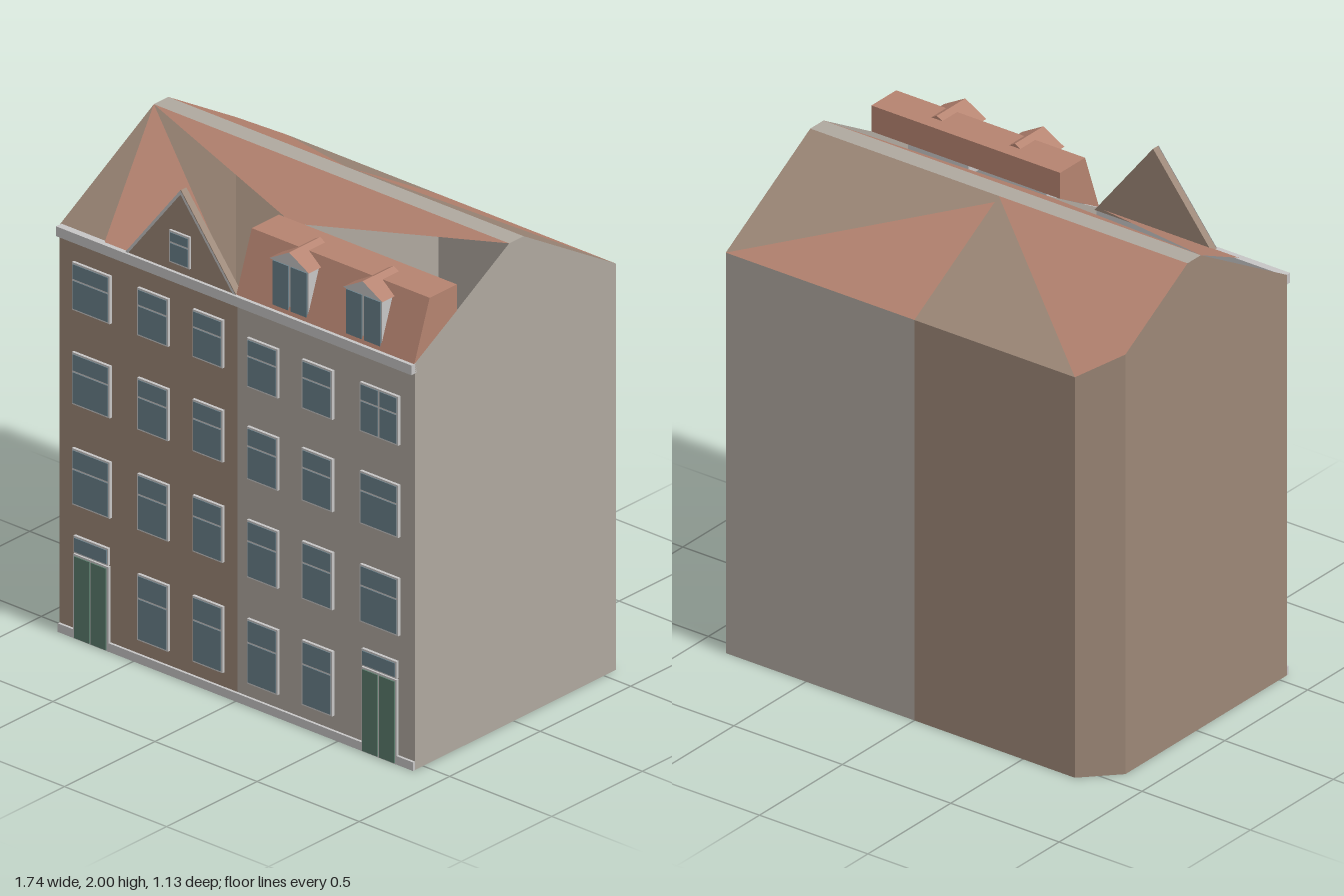
import * as THREE from 'three';

const material = (name, color) =>
  new THREE.MeshStandardMaterial({ name, color, side: THREE.DoubleSide });

export function createModel() {
  const model = new THREE.Group();
  model.name = 'townhouses';
  const brown = material('brown plaster', 0x9c8777);
  const gray = material('gray plaster', 0xafa89f);
  const tile = material('terracotta tile', 0xb58370);
  const pale = material('pale trim', 0xc6c5c5);
  const glass = material('window glass', 0x69808a);
  const green = material('green door', 0x5a7c6c);

  // Main dimensions
  const W = 0.87, F = 0.545, B = -0.565, EAVE = 1.66, TOP = 1.96;
  const RF = 0.025, RB = -0.055, CX = -0.74, CZ = -0.43;
  const frontY = z => TOP - (TOP - EAVE) * (z - RF) / (F - RF);
  const backY = z => TOP - (TOP - EAVE) * (RB - z) / (RB - B);

  // Flat convex polygon, corners counter-clockwise from outside
  function face(name, mat, pts, parent = model) {
    const pos = [];
    for (let i = 1; i < pts.length - 1; i++) pos.push(...pts[0], ...pts[i], ...pts[i + 1]);
    const geo = new THREE.BufferGeometry();
    geo.setAttribute('position', new THREE.Float32BufferAttribute(pos, 3));
    geo.computeVertexNormals();
    const mesh = new THREE.Mesh(geo, mat);
    mesh.name = name;
    parent.add(mesh);
  }

  // Box given by its limits
  function block(name, mat, x0, x1, y0, y1, z0, z1, parent = model) {
    const mesh = new THREE.Mesh(new THREE.BoxGeometry(x1 - x0, y1 - y0, z1 - z0), mat);
    mesh.position.set((x0 + x1) / 2, (y0 + y1) / 2, (z0 + z1) / 2);
    mesh.name = name;
    parent.add(mesh);
  }

  // Walls and floors of the two houses
  const wall = (name, mat, x0, x1, y) =>
    face(name, mat, [[x0, 0, F], [x1, 0, F], [x1, y, F], [x0, y, F]]);
  wall('leftFrontWall', brown, -W, 0, EAVE);
  wall('rightFrontWall', gray, 0, W, EAVE);
  face('rearWallBrown', brown, [[0, 0, B], [CX, 0, B], [CX, EAVE, B], [0, EAVE, B]]);
  face('rearWallGray', gray, [[W, 0, B], [0, 0, B], [0, EAVE, B], [W, EAVE, B]]);
  face('chamferedCorner', brown,
    [[CX, 0, B], [-W, 0, CZ], [-W, backY(CZ), CZ], [CX, EAVE, B]]);
  face('brownGableEnd', brown, [[-W, 0, CZ], [-W, 0, F], [-W, EAVE, F],
    [-W, TOP, RF], [-W, TOP, RB], [-W, backY(CZ), CZ]]);
  for (const [name, x] of [['grayGableEnd', W], ['partyWall', 0]])
    face(name, gray, [[x, 0, F], [x, 0, B], [x, EAVE, B], [x, TOP, RB], [x, TOP, RF], [x, EAVE, F]]);
  face('brownFloor', brown, [[-W, 0, F], [-W, 0, CZ], [CX, 0, B], [0, 0, B], [0, 0, F]]);
  face('grayFloor', gray, [[0, 0, F], [0, 0, B], [W, 0, B], [W, 0, F]]);

  // Ridge strip and rear slope in tile and plaster fields
  face('ridgeStrip', gray, [[-W, TOP, RF], [W, TOP, RF], [W, TOP, RB], [-W, TOP, RB]]);
  face('rearRoofTileA', tile, [[0, TOP, RB], [CX, EAVE, B], [-W, backY(CZ), CZ], [-W, TOP, RB]]);
  face('rearRoofPlainA', brown, [[0, TOP, RB], [0, EAVE, B], [CX, EAVE, B]]);
  const mid = [0, backY(-0.08), -0.08];
  face('rearRoofTileB', tile, [mid, [W, EAVE, B], [0, EAVE, B]]);
  face('rearRoofPlainB', brown, [mid, [0, TOP, RB], [W, TOP, RB], [W, EAVE, B]]);

  // Open front slope: only these tiled triangles are closed
  const peak = [-W, TOP, RF];
  face('frontRoofUpper', tile, [peak, [0, frontY(0.24), 0.24], [W, TOP, RF]]);
  face('frontRoofLower', tile, [peak, [-0.65, EAVE, F], [0, EAVE, F]]);

  // Cornice and plinth
  block('cornice', pale, -W, W, 1.62, EAVE, F - 0.01, 0.565);
  block('plinth', pale, -W, W, 0, 0.035, F, 0.556);

  // Window: pale frame plate with a wide upper light and a lower pane
  function windowUnit(x0, x1, y0, y1, split = false, z = F) {
    const g = new THREE.Group();
    g.name = 'window';
    model.add(g);
    block('windowFrame', pale, x0, x1, y0, y1, z, z + 0.012, g);
    const e = 0.007, bar = y0 + (y1 - y0) * 0.64, c = (x0 + x1) / 2;
    const spans = split ? [[x0 + e, c - 0.005], [c + 0.005, x1 - e]] : [[x0 + e, x1 - e]];
    for (const [a, b] of spans) {
      block('lowerPane', glass, a, b, y0 + e, bar - 0.004, z + 0.01, z + 0.015, g);
      block('upperPane', glass, a, b, bar + 0.004, y1 - e, z + 0.01, z + 0.015, g);
    }
  }

  // Facades: column limits, row limits and which column holds the door
  const facades = [
    { cols: [[-0.8, -0.615], [-0.48, -0.33], [-0.21, -0.063]], door: 0,
      rows: [[0.095, 0.365], [0.545, 0.775], [0.955, 1.167], [1.34, 1.535]] },
    { cols: [[0.057, 0.207], [0.325, 0.475], [0.61, 0.798]], door: 2,
      rows: [[0.093, 0.358], [0.527, 0.762], [0.928, 1.143], [1.305, 1.505]] },
  ];
  for (const { cols, door, rows } of facades) {
    cols.forEach(([x0, x1], c) => rows.forEach(([y0, y1], r) => {
      if (r > 0 || c !== door) windowUnit(x0, x1, y0, y1, c === 2 && r === 3 && door === 2);
    }));
    // Double door with a glazed transom
    const m = (cols[door][0] + cols[door][1]) / 2;
    block('doorFrame', pale, m - 0.086, m + 0.086, 0, 0.345, F, 0.557);
    for (const s of [-1, 1])
      block('doorLeaf', green, m + s * 0.041 - 0.037, m + s * 0.041 + 0.037, 0.005, 0.338, F, 0.562);
    block('transomFrame', pale, m - 0.085, m + 0.085, 0.35, 0.42, F, 0.557);
    block('transomGlass', glass, m - 0.079, m + 0.079, 0.357, 0.413, F, 0.561);
  }

  // Pointed front gable with pale verges
  const gable = new THREE.Shape([[-0.54, EAVE], [0, EAVE], [-0.27, 2]]
    .map(p => new THREE.Vector2(...p)));
  const gableMesh = new THREE.Mesh(
    new THREE.ExtrudeGeometry(gable, { depth: 0.03, bevelEnabled: false }), brown);
  gableMesh.position.z = 0.522;
  gableMesh.name = 'frontGable';
  model.add(gableMesh);
  for (const s of [-1, 1])
    face('gableVerge', pale, [[-0.27, 2, 0.555], [-0.27, 1.982, 0.555],
      [-0.27 + s * 0.256, EAVE, 0.555], [-0.27 + s * 0.27, EAVE, 0.555]]);
  windowUnit(-0.32, -0.22, 1.695, 1.825, false, 0.55);

  // Mansard box on the gray house
  const bz = 0.315, tz = 0.465, boxTop = 1.9;
  const section = x => [[x, EAVE, 0.55], [x, frontY(bz), bz], [x, boxTop, bz], [x, boxTop, tz]];
  const [L, R] = [section(0), section(W + 0.001)];
  face('mansardEndLeft', tile, [...L].reverse());
  face('mansardEndRight', tile, R);
  ['Bottom', 'Back', 'Top', 'Front'].forEach((n, i) => {
    const j = (i + 1) % 4;
    face('mansard' + n, tile, [L[i], L[j], R[j], R[i]]);
  });

  // Two dormers with glazed fronts and small pitched roofs
  for (const x of [0.255, 0.615]) {
    const h = 0.088;
    block('dormerBody', pale, x - h, x + h, EAVE, 1.86, 0.45, 0.54);
    for (const s of [-1, 1])
      block('dormerPane', glass, x + s * 0.045 - 0.039, x + s * 0.045 + 0.039,
        1.668, 1.855, 0.537, 0.545);
    const a = [x - 0.097, 1.86], b = [x + 0.097, 1.86], t = [x, 1.914];
    const f = 0.547, k = 0.375;
    face('dormerPediment', pale, [[...a, f], [...b, f], [...t, f]]);
    face('dormerRoofBack', tile, [[...b, k], [...a, k], [...t, k]]);
    face('dormerRoofLeft', tile, [[...b, f], [...b, k], [...t, k], [...t, f]]);
    face('dormerRoofRight', tile, [[...a, k], [...a, f], [...t, f], [...t, k]]);
    face('dormerSoffit', tile, [[...a, k], [...b, k], [...b, f], [...a, f]]);
  }

  return model;
}
